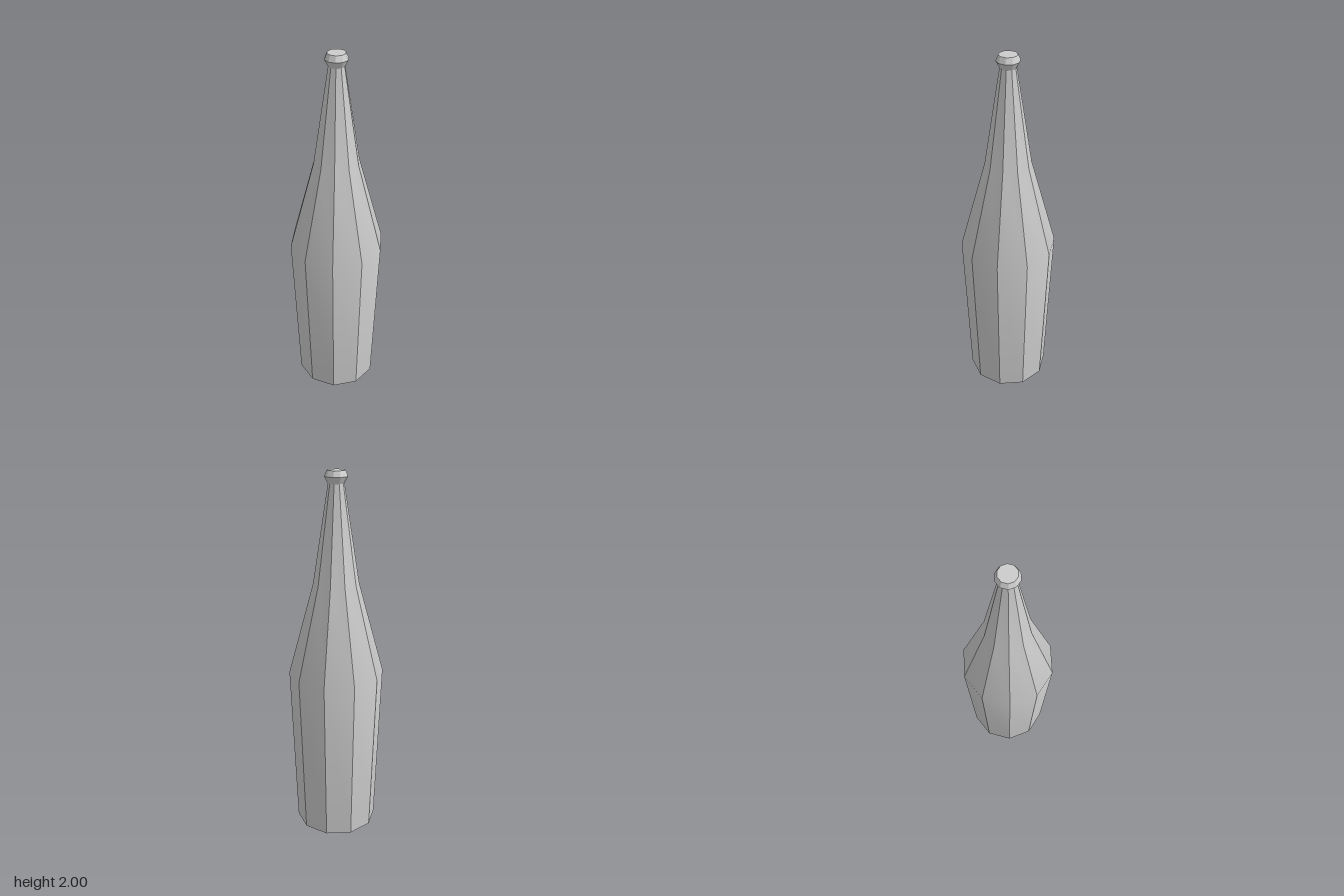
import * as THREE from 'three';
import { toCreasedNormals } from 'three/addons/utils/BufferGeometryUtils.js';

const SIDES = 10;

export function createModel() {
  const group = new THREE.Group();
  group.name = 'bottle';

  // Half profile [radius, height], from the base centre to the closed mouth
  const profile = [
    [0, 0], [0.225, 0],           // base
    [0.258, 0.92],                // body, widening upwards
    [0.122, 1.42],                // shoulder
    [0.042, 1.935],               // neck
    [0.06, 1.97], [0.047, 2],     // lip
    [0, 2],                       // mouth
  ].map(([r, y]) => new THREE.Vector2(r, y));

  // Ten-sided turn with corners on the x axis; soft along the height, sharp between sides
  const lathe = new THREE.LatheGeometry(profile, SIDES, Math.PI / 2);
  const geometry = toCreasedNormals(lathe, THREE.MathUtils.degToRad(28));

  const bottle = new THREE.Mesh(geometry, new THREE.MeshStandardMaterial({ color: 0xcccccc }));
  bottle.name = 'bottleBody';
  group.add(bottle);
  return group;
}
